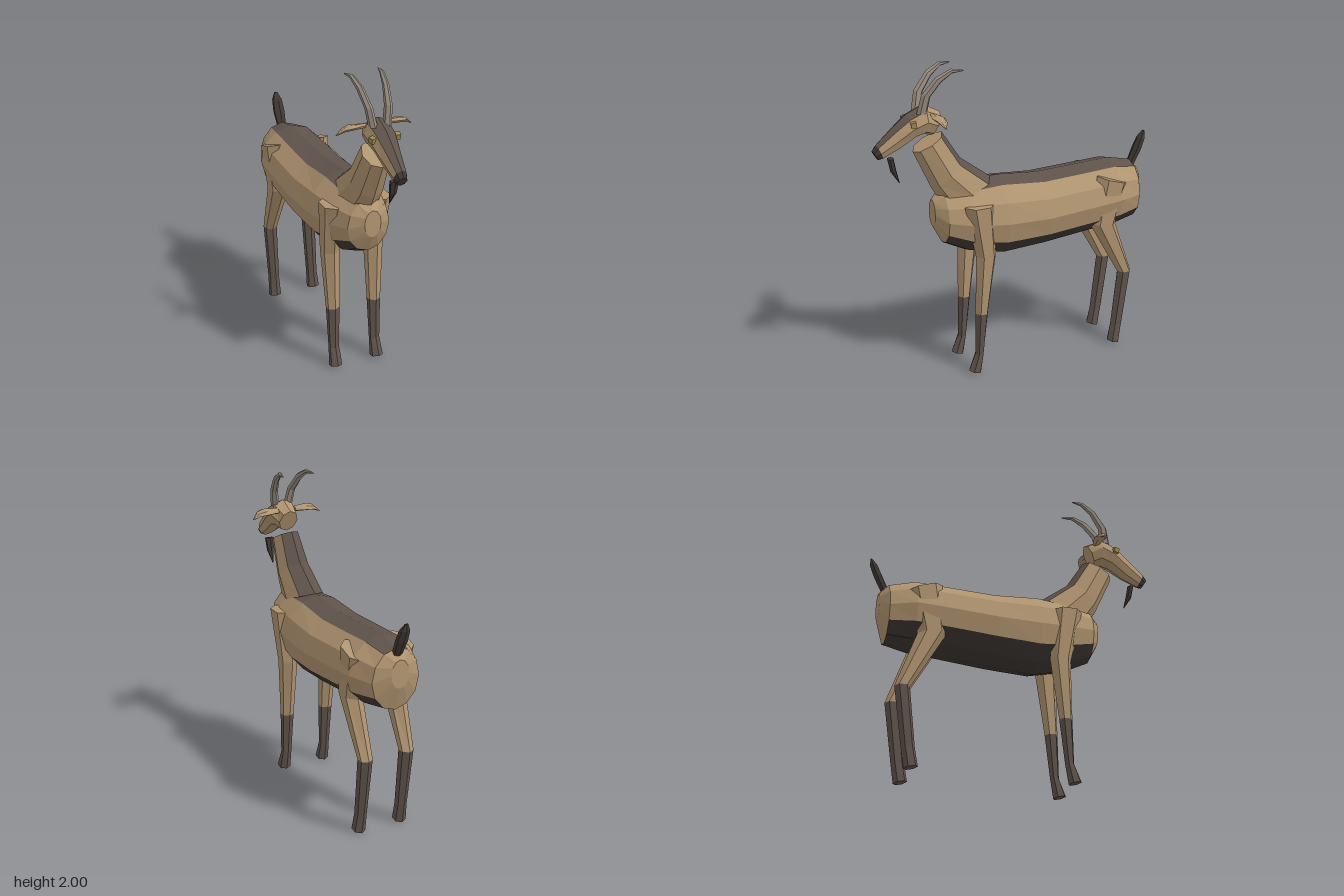
import * as THREE from 'three';

const COLORS = { tan: 0xb09470, brown: 0x5f534b, dark: 0x3f3834, horn: 0x968b7e, eye: 0x9c8a4e };
const V = (x, y, z) => new THREE.Vector3(x, y, z);

function material(key) {
  return new THREE.MeshStandardMaterial({ color: COLORS[key], flatShading: true });
}

// Cross-section spanning two opposite points in the side plane, with half width rx about x = cx
function sec(z0, y0, z1, y1, rx, cx = 0) {
  return {
    c: V(cx, (y0 + y1) / 2, (z0 + z1) / 2),
    u: V(0, (y0 - y1) / 2, (z0 - z1) / 2),
    v: V(rx, 0, 0),
  };
}

// Faceted skin through the sections, capped at both ends.
// paint(segment, d) gives the colour; d counts facets away from each section's first point.
// Caps use segment -1 and sections.length - 1.
function loft(name, sections, n, paint) {
  const group = new THREE.Group();
  group.name = name;
  const rings = sections.map(({ c, u, v }) => Array.from({ length: n }, (_, k) => {
    const a = (k / n) * Math.PI * 2;
    return c.clone().addScaledVector(u, Math.cos(a)).addScaledVector(v, Math.sin(a));
  }));
  const { u, v } = sections[0];
  const axis = sections[1].c.clone().sub(sections[0].c);
  const flip = u.clone().cross(v).dot(axis) < 0;
  const parts = {};
  const tri = (key, a, b, c) => {
    const list = (parts[key] ??= []);
    for (const p of flip ? [a, c, b] : [a, b, c]) list.push(p.x, p.y, p.z);
  };
  const last = rings.length - 1;
  for (let k = 0; k < n; k++) {
    const j = (k + 1) % n;
    const d = Math.min(k, n - 1 - k);
    for (let s = 0; s < last; s++) {
      const key = paint(s, d);
      tri(key, rings[s][k], rings[s][j], rings[s + 1][j]);
      tri(key, rings[s][k], rings[s + 1][j], rings[s + 1][k]);
    }
    tri(paint(-1, d), sections[0].c, rings[0][j], rings[0][k]);
    tri(paint(last, d), sections[last].c, rings[last][k], rings[last][j]);
  }
  for (const [key, list] of Object.entries(parts)) {
    const geo = new THREE.BufferGeometry();
    geo.setAttribute('position', new THREE.Float32BufferAttribute(list, 3));
    geo.computeVertexNormals();
    const mesh = new THREE.Mesh(geo, material(key));
    mesh.name = `${name} ${key}`;
    group.add(mesh);
  }
  return group;
}

export function createModel() {
  const goat = new THREE.Group();
  goat.name = 'goat';

  // Barrel body with a dark back stripe and belly
  const body = [
    [0.56, 1.165, 0.99, 0.055], [0.5, 1.215, 0.875, 0.14], [0.35, 1.245, 0.8, 0.195],
    [0.13, 1.265, 0.75, 0.225], [-0.15, 1.24, 0.77, 0.237], [-0.42, 1.25, 0.795, 0.232],
    [-0.66, 1.26, 0.815, 0.222], [-0.82, 1.225, 0.84, 0.16], [-0.87, 1.17, 0.99, 0.06],
  ].map(([z, top, bottom, rx]) => sec(z, top, z, bottom, rx));
  goat.add(loft('body', body, 12, (s, d) => {
    if (s < 1 || s > 6) return 'tan';
    return d === 0 ? 'brown' : d >= 4 ? 'dark' : 'tan';
  }));

  // Neck, first point of each section at the nape
  goat.add(loft('neck', [
    sec(0.17, 1.26, 0.49, 1.12, 0.12),
    sec(0.37, 1.41, 0.565, 1.25, 0.105),
    sec(0.485, 1.59, 0.675, 1.49, 0.085),
  ], 8, (s, d) => (d === 0 && s >= 0 && s < 2 ? 'brown' : 'tan')));

  // Head from nose to back of skull, with a dark nose and blaze
  goat.add(loft('head', [
    sec(0.93, 1.53, 0.895, 1.47, 0.032),
    sec(0.905, 1.565, 0.865, 1.475, 0.043),
    sec(0.81, 1.65, 0.76, 1.52, 0.062),
    sec(0.71, 1.73, 0.665, 1.58, 0.083),
    sec(0.603, 1.778, 0.6, 1.595, 0.09),
    sec(0.497, 1.722, 0.56, 1.58, 0.065),
  ], 8, (s, d) => {
    if (s < 1) return 'dark';
    return d === 0 && s < 4 ? 'brown' : 'tan';
  }));

  // Beard
  goat.add(loft('beard', [
    sec(0.837, 1.465, 0.798, 1.47, 0.03),
    sec(0.82, 1.385, 0.783, 1.39, 0.024),
    sec(0.767, 1.305, 0.763, 1.307, 0.003),
  ], 6, () => 'dark'));

  // Tail
  goat.add(loft('tail', [
    sec(-0.8, 1.19, -0.85, 1.18, 0.03),
    sec(-0.85, 1.3, -0.9, 1.28, 0.04),
    sec(-0.878, 1.36, -0.93, 1.36, 0.034),
    sec(-0.918, 1.405, -0.928, 1.405, 0.012),
  ], 6, () => 'dark'));

  for (const side of [1, -1]) {
    const label = side > 0 ? 'left' : 'right';
    const mirrored = (rows) => rows.map(([z0, y0, z1, y1, rx, cx]) => sec(z0, y0, z1, y1, rx, cx * side));

    // Front leg: shoulder, elbow, knee, ankle, hoof
    goat.add(loft(`${label} front leg`, mirrored([
      [0.41, 1.14, 0.215, 1.14, 0.068, 0.163],
      [0.335, 0.8, 0.2, 0.8, 0.06, 0.148],
      [0.34, 0.41, 0.255, 0.41, 0.043, 0.143],
      [0.345, 0.13, 0.287, 0.13, 0.035, 0.143],
      [0.39, 0.02, 0.307, 0, 0.042, 0.145],
    ]), 6, (s) => (s < 2 ? 'tan' : 'brown')));

    // Hind leg: hip, thigh, hock, ankle, hoof
    goat.add(loft(`${label} hind leg`, mirrored([
      [-0.5, 1.205, -0.72, 1.135, 0.068, 0.16],
      [-0.46, 0.885, -0.645, 0.865, 0.065, 0.148],
      [-0.677, 0.51, -0.772, 0.51, 0.045, 0.143],
      [-0.635, 0.13, -0.72, 0.13, 0.036, 0.143],
      [-0.614, 0.02, -0.7, 0, 0.042, 0.145],
    ]), 6, (s) => (s < 2 ? 'tan' : 'brown')));

    // Swept-back horn
    goat.add(loft(`${label} horn`, mirrored([
      [0.662, 1.735, 0.595, 1.735, 0.026, 0.045],
      [0.636, 1.85, 0.578, 1.835, 0.023, 0.062],
      [0.55, 1.955, 0.515, 1.92, 0.019, 0.081],
      [0.457, 2.0, 0.453, 1.97, 0.014, 0.095],
      [0.384, 1.988, 0.384, 1.981, 0.004, 0.108],
    ]), 6, () => 'horn'));

    // Leaf-shaped ear: x, y, z, half depth, half thickness
    const ear = [
      [0.06, 1.72, 0.56, 0.022, 0.014], [0.155, 1.722, 0.56, 0.046, 0.016],
      [0.195, 1.715, 0.558, 0.032, 0.014], [0.24, 1.685, 0.553, 0.004, 0.003],
    ].map(([x, y, z, depth, thick]) => ({
      c: V(x * side, y, z), u: V(0, thick * 0.6, depth), v: V(0, thick, -thick * 0.3),
    }));
    goat.add(loft(`${label} ear`, ear, 6, () => 'tan'));

    // Eye
    const eye = new THREE.Mesh(new THREE.BoxGeometry(0.03, 0.034, 0.034), material('eye'));
    eye.name = `${label} eye`;
    eye.position.set(0.08 * side, 1.682, 0.693);
    eye.rotation.set(0.2, -0.25 * side, 0);
    goat.add(eye);
  }
  return goat;
}
